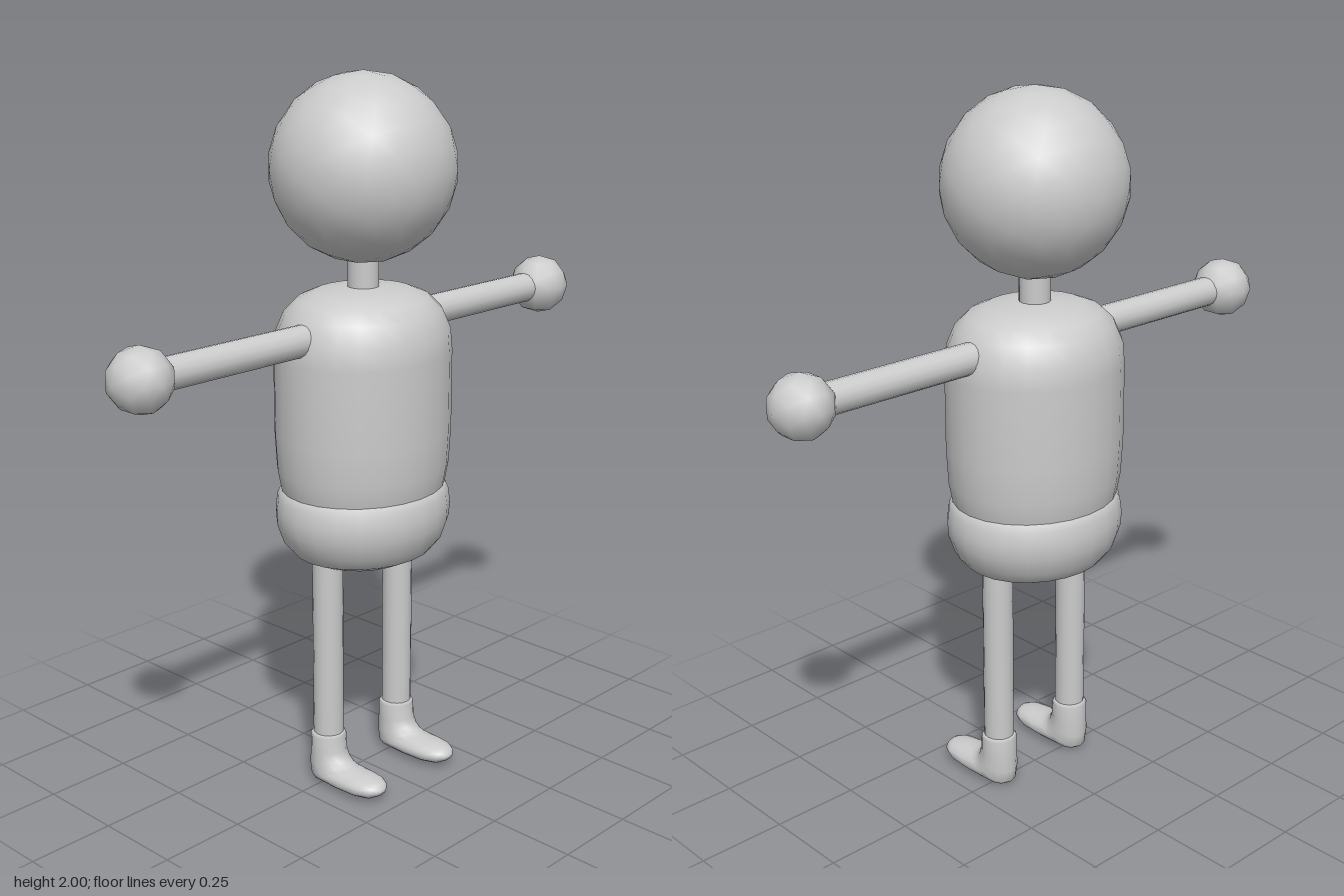
import * as THREE from 'three';

const material = new THREE.MeshStandardMaterial({ color: 0xcccccc });

function part(name, geometry, x = 0, y = 0, z = 0) {
  const mesh = new THREE.Mesh(geometry, material);
  mesh.name = name;
  mesh.position.set(x, y, z);
  return mesh;
}

// Round body shell, slightly wider from shoulder to shoulder (z) than deep (x)
function bodyShell(name, profile) {
  const points = profile.map(([r, y]) => new THREE.Vector2(r, y));
  const mesh = part(name, new THREE.LatheGeometry(points, 24));
  mesh.scale.z = 1.13;
  return mesh;
}

// Boot skinned over rings: [backX, backY, frontX, frontY, halfWidth]
function bootGeometry() {
  const rings = [
    [0, 0.158, 0, 0.158, 0],
    [-0.046, 0.158, 0.046, 0.158, 0.046],
    [-0.052, 0.15, 0.05, 0.15, 0.051],
    [-0.053, 0.1, 0.053, 0.105, 0.051],
    [-0.054, 0.05, 0.064, 0.084, 0.054],
    [-0.05, 0.015, 0.08, 0.075, 0.055],
    [-0.035, 0.004, 0.1, 0.07, 0.056],
    [0.05, 0.002, 0.14, 0.068, 0.058],
    [0.13, 0.005, 0.18, 0.064, 0.055],
    [0.18, 0.011, 0.2, 0.056, 0.04],
    [0.206, 0.026, 0.209, 0.044, 0.018],
    [0.21, 0.036, 0.21, 0.036, 0],
  ];
  const sides = 16, positions = [], index = [];
  rings.forEach(([bx, by, fx, fy, w], i) => {
    for (let j = 0; j < sides; j++) {
      const t = (j / sides) * Math.PI * 2, c = Math.cos(t) / 2;
      positions.push((bx + fx) / 2 + (fx - bx) * c, (by + fy) / 2 + (fy - by) * c, w * Math.sin(t));
      if (i === rings.length - 1) continue;
      const a = i * sides + j, b = i * sides + (j + 1) % sides;
      index.push(a, b, a + sides, b, b + sides, a + sides);
    }
  });
  const geometry = new THREE.BufferGeometry();
  geometry.setAttribute('position', new THREE.Float32BufferAttribute(positions, 3));
  geometry.setIndex(index);
  geometry.computeVertexNormals();
  return geometry;
}

export function createModel() {
  const model = new THREE.Group();
  model.name = 'figure';

  // Head and neck
  model.add(part('head', new THREE.IcosahedronGeometry(0.253, 3), 0, 1.748, 0));
  model.add(part('neck', new THREE.CylinderGeometry(0.043, 0.043, 0.2, 16), 0, 1.46, 0));

  // Torso tucked into the rounded hips
  model.add(bodyShell('torso', [
    [0, 0.82], [0.2, 0.82], [0.215, 0.87], [0.225, 0.93], [0.23, 1.03], [0.23, 1.25],
    [0.225, 1.31], [0.203, 1.365], [0.17, 1.4], [0.125, 1.42], [0.06, 1.429], [0, 1.431],
  ]));
  model.add(bodyShell('hips', [
    [0, 0.645], [0.07, 0.65], [0.14, 0.662], [0.185, 0.685], [0.212, 0.72], [0.228, 0.77],
    [0.23, 0.81], [0.225, 0.85], [0.213, 0.876], [0.18, 0.885], [0, 0.885],
  ]));

  // Straight arms, ball hands, legs and boots on both sides
  const armGeometry = new THREE.CylinderGeometry(0.043, 0.043, 0.57, 16).rotateX(Math.PI / 2);
  const handGeometry = new THREE.IcosahedronGeometry(0.087, 1);
  const legGeometry = new THREE.CylinderGeometry(0.043, 0.043, 0.64, 16);
  const boot = bootGeometry();
  for (const s of [1, -1]) {
    model.add(part('arm', armGeometry, 0, 1.318, s * 0.455));
    model.add(part('hand', handGeometry, 0, 1.318, s * 0.774));
    model.add(part('leg', legGeometry, 0, 0.44, s * 0.143));
    model.add(part('boot', boot, 0, 0, s * 0.143));
  }
  return model;
}
